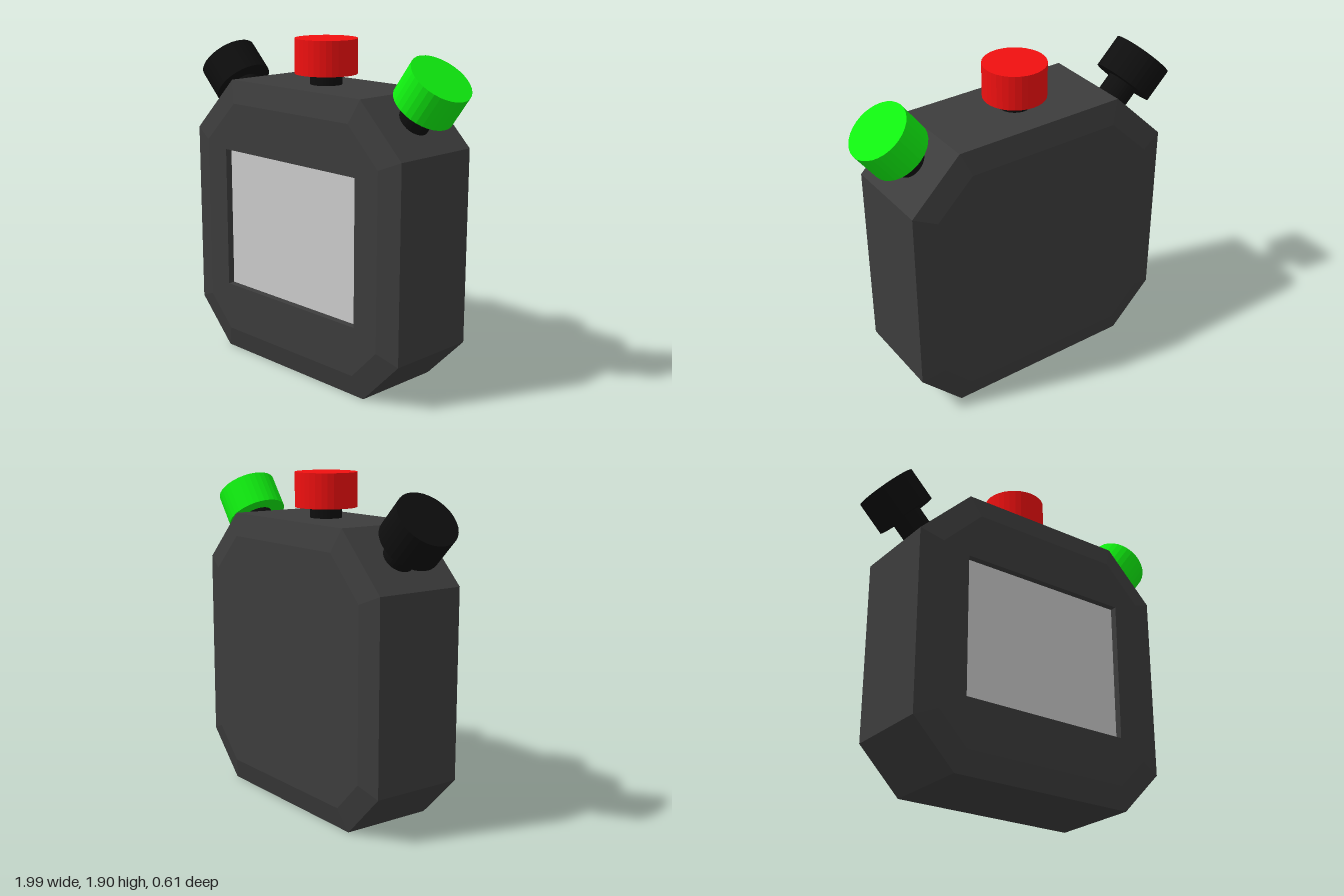
import * as THREE from 'three';

const paint = (color) => new THREE.MeshStandardMaterial({ color, flatShading: true });
const V2 = (x, y) => new THREE.Vector2(x, y);

// Move every edge of a counter-clockwise outline inwards by d
function inset(loop, d) {
  const n = loop.length;
  return loop.map((p, i) => {
    const a = p.clone().sub(loop[(i + n - 1) % n]).normalize();
    const b = loop[(i + 1) % n].clone().sub(p).normalize();
    const na = V2(-a.y, a.x), nb = V2(-b.y, b.x);
    const miter = na.clone().add(nb);
    return p.clone().addScaledVector(miter, d / (1 + na.dot(nb)));
  });
}

// Walls joining matching outlines, listed front to back as [outline, z]
function loft(rings) {
  const pos = [];
  for (let r = 0; r < rings.length - 1; r++) {
    const [f, zf] = rings[r], [k, zk] = rings[r + 1];
    for (let i = 0; i < f.length; i++) {
      const j = (i + 1) % f.length;
      const a = [f[i].x, f[i].y, zf], b = [f[j].x, f[j].y, zf];
      const c = [k[i].x, k[i].y, zk], d = [k[j].x, k[j].y, zk];
      pos.push(...c, ...d, ...b, ...c, ...b, ...a);
    }
  }
  const g = new THREE.BufferGeometry();
  g.setAttribute('position', new THREE.Float32BufferAttribute(pos, 3));
  g.computeVertexNormals();
  return g;
}

export function createModel() {
  const model = new THREE.Group();
  const dark = paint(0x3c3c3c), black = paint(0x0e0e0e);
  const add = (parent, name, geometry, material) => {
    const mesh = new THREE.Mesh(geometry, material);
    mesh.name = name;
    parent.add(mesh);
    return mesh;
  };

  // Octagonal case with shallow bevels front and back
  const rim = [
    V2(-0.556, 0), V2(0.583, 0), V2(0.834, 0.257), V2(0.834, 1.357),
    V2(0.54, 1.645), V2(-0.487, 1.645), V2(-0.807, 1.33), V2(-0.807, 0.257),
  ];
  const face = inset(rim, 0.13);
  const rimZ = 0.27, faceZ = 0.305, screenZ = 0.265;
  const body = new THREE.Group();
  body.name = 'case';
  model.add(body);
  add(body, 'caseSides', loft([[face, faceZ], [rim, rimZ], [rim, -rimZ], [face, -faceZ]]), dark);

  // Front panel with the window opening, plain back panel
  const [l, r, b, t] = [-0.513, 0.54, 0.412, 1.238];
  const opening = [V2(l, b), V2(l, t), V2(r, t), V2(r, b)];
  const front = new THREE.Shape(face);
  front.holes.push(new THREE.Path(opening));
  add(body, 'frontPanel', new THREE.ShapeGeometry(front), dark).position.z = faceZ;
  const back = new THREE.ShapeGeometry(new THREE.Shape(face.map((p) => V2(-p.x, p.y)).reverse()));
  back.rotateY(Math.PI);
  add(body, 'backPanel', back, dark).position.z = -faceZ;

  // Recessed screen
  add(body, 'windowFrame', loft([[opening, faceZ], [opening, screenZ]]), dark);
  add(model, 'screen', new THREE.PlaneGeometry(r - l, t - b), paint(0xcccccc))
    .position.set((l + r) / 2, (b + t) / 2, screenZ);

  // Push buttons: origin at the underside of the cap, tilted in the front plane
  const button = (name, x, y, z, tilt, material) => {
    const g = new THREE.Group();
    g.name = name;
    const cap = new THREE.CylinderGeometry(0.177, 0.177, 0.197, 32);
    add(g, name + 'Cap', cap, material).position.y = 0.0985;
    const stem = new THREE.CylinderGeometry(0.091, 0.091, 0.25, 32);
    add(g, name + 'Stem', stem, black).position.y = -0.12;
    g.position.set(x, y, z);
    g.rotation.z = tilt;
    model.add(g);
  };
  button('topButton', 0.015, 1.705, 0, 0, paint(0xf01010));
  button('leftButton', 0.736, 1.599, 0, -0.638, paint(0x10f010));
  button('rightButton', -0.732, 1.57, -0.02, Math.PI / 4, black);

  return model;
}
